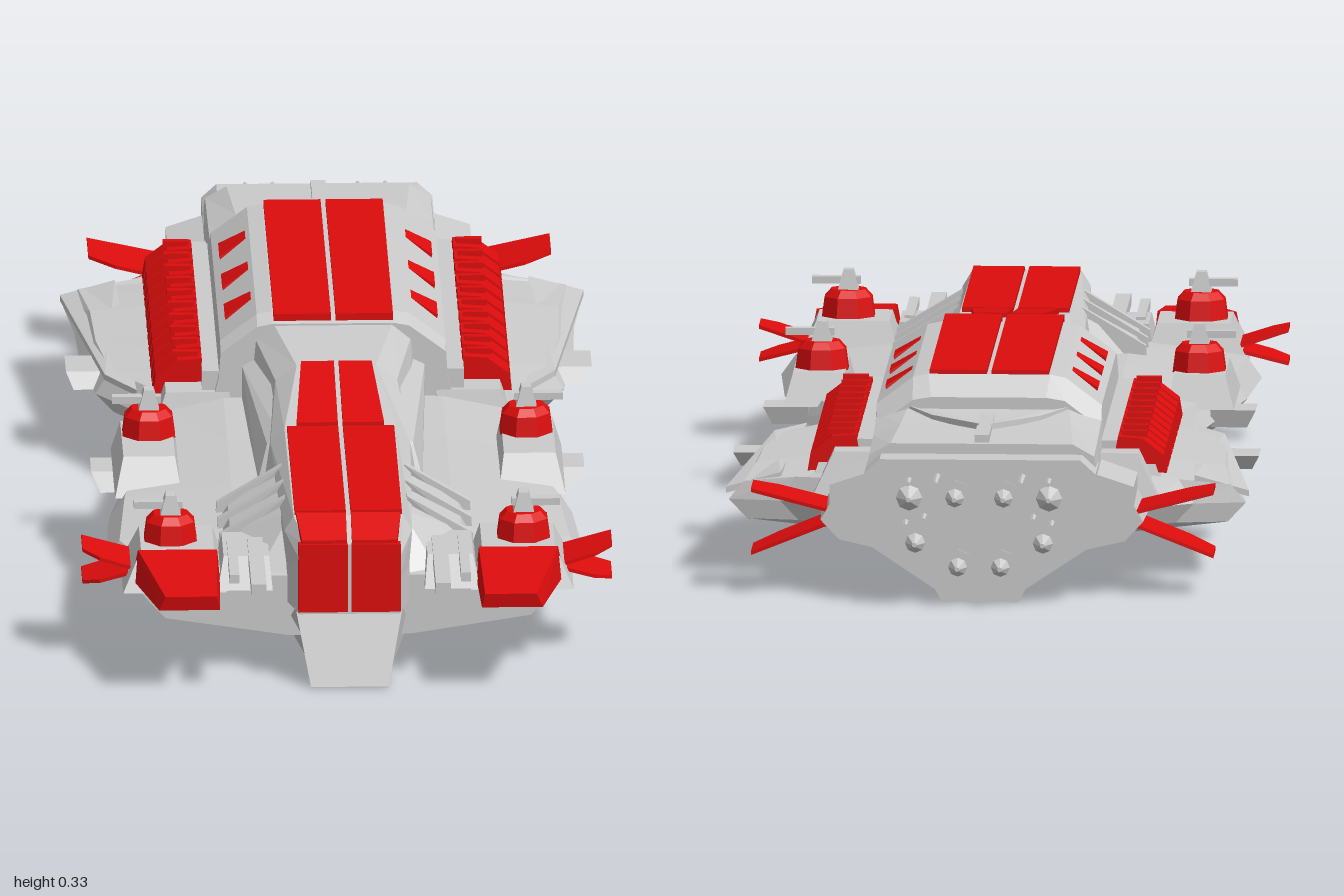
import * as THREE from 'three';
import { ConvexGeometry } from 'three/addons/geometries/ConvexGeometry.js';

const grey = new THREE.MeshStandardMaterial({ color: 0xcccccc, flatShading: true });
const red = new THREE.MeshStandardMaterial({ color: 0xdd0c0c, flatShading: true });

// Symmetric loft: sections run front to back as [z, [x, y]...] listing the +x half from bottom to top
function loft(sections) {
  const pos = [];
  const rings = sections.map(([z, ...half]) => [
    ...half.map(([x, y]) => [x, y, z]),
    ...half.map(([x, y]) => [-x, y, z]).reverse(),
  ]);
  const quad = (a, b, c, d) => pos.push(...a, ...b, ...c, ...a, ...c, ...d);
  const n = rings[0].length;
  for (let s = 0; s < rings.length - 1; s++) {
    const f = rings[s], k = rings[s + 1];
    for (let i = 0; i < n; i++) {
      const j = (i + 1) % n;
      quad(f[i], k[i], k[j], f[j]);
    }
  }
  const f = rings[0], k = rings[rings.length - 1];
  for (let i = 0; i < n / 2 - 1; i++) {
    quad(f[i], f[i + 1], f[n - 2 - i], f[n - 1 - i]);
    quad(k[i], k[n - 1 - i], k[n - 2 - i], k[i + 1]);
  }
  const g = new THREE.BufferGeometry();
  g.setAttribute('position', new THREE.Float32BufferAttribute(pos, 3));
  g.computeVertexNormals();
  return g;
}

const hull = (pts) => new ConvexGeometry(pts.map((p) => new THREE.Vector3(...p)));

// Block from two rectangles [x0, x1, z0, z1, y]: base and top
const block = (b, t) => hull([b, t].flatMap(([x0, x1, z0, z1, y]) =>
  [[x0, y, z0], [x1, y, z0], [x1, y, z1], [x0, y, z1]]));

const box = (x0, x1, y0, y1, z0, z1) =>
  new THREE.BoxGeometry(x1 - x0, y1 - y0, z1 - z0).translate((x0 + x1) / 2, (y0 + y1) / 2, (z0 + z1) / 2);

// Cylinder along z
const rod = (rFront, rBack, z0, z1, x, y, sides = 8) =>
  new THREE.CylinderGeometry(rFront, rBack, z1 - z0, sides).rotateX(Math.PI / 2).translate(x, y, (z0 + z1) / 2);

// Thin plate with the given outline
const plate = (pts, t = 0.005) => hull(pts.flatMap(([x, y, z]) => [[x, y - t, z], [x, y + t, z]]));

export function createModel() {
  const model = new THREE.Group();
  const add = (name, geo, mat = grey) => {
    const m = new THREE.Mesh(geo, mat);
    m.name = name;
    model.add(m);
    return m;
  };
  // Adds a part on the left and its mirror image on the right
  const pair = (name, geo, mat = grey) => {
    add(name + 'Left', geo, mat);
    const g = geo.clone().toNonIndexed();
    const p = g.attributes.position;
    for (let i = 0; i < p.count; i += 3) {
      const v = [0, 2, 1].map((k) => [-p.getX(i + k), p.getY(i + k), p.getZ(i + k)]);
      v.forEach((c, k) => p.setXYZ(i + k, ...c));
    }
    g.computeVertexNormals();
    add(name + 'Right', g, mat);
  };

  // Keel with raked bow
  add('keel', loft([
    [0.93, [0.063, 0], [0.064, 0.002]],
    [0.885, [0.063, 0], [0.088, 0.125]],
    [0.8, [0.063, 0], [0.1, 0.07]],
    [-0.91, [0.063, 0], [0.1, 0.07]],
  ]));

  // Wide lower hull: [z, half width, deck height]
  const plan = [
    [0.84, 0.33, 0.155], [0.72, 0.36, 0.165], [0.64, 0.395, 0.17], [0.42, 0.38, 0.17], [0.2, 0.34, 0.17],
    [0.0, 0.305, 0.175], [-0.1, 0.315, 0.175], [-0.2, 0.385, 0.175], [-0.35, 0.405, 0.175],
    [-0.5, 0.41, 0.175], [-0.64, 0.425, 0.165], [-0.655, 0.34, 0.175], [-0.7, 0.27, 0.18], [-0.85, 0.265, 0.18],
  ];
  add('lowerHull', loft(plan.map(([z, w, y]) =>
    [z, [0.1, 0.062], [w - 0.03, 0.093], [w, 0.125], [w - 0.025, y - 0.01], [0.18, y + 0.01]])));
  pair('wingPlate', plate([[0.32, 0.16, -0.1], [0.37, 0.16, -0.18], [0.4, 0.15, -0.45],
    [0.43, 0.14, -0.64], [0.34, 0.165, -0.64]]));

  // Forward spine and raised neck
  const spine = (z, base, shoulder, top, y) =>
    [z, [base, 0.12], [base, 0.18], [shoulder, y - 0.025], [top, y]];
  add('forwardSpine', loft([
    spine(0.905, 0.082, 0.082, 0.07, 0.24), spine(0.84, 0.1, 0.105, 0.09, 0.268),
    spine(0.4, 0.125, 0.115, 0.092, 0.268), spine(0.17, 0.12, 0.1, 0.065, 0.298),
    spine(-0.02, 0.14, 0.13, 0.1, 0.31),
  ]));
  pair('neckRail', hull([[0.1, 0.18, 0.42], [0.135, 0.18, 0.4], [0.1, 0.25, 0.38], [0.12, 0.235, 0.38],
    [0.11, 0.26, 0], [0.15, 0.24, 0], [0.15, 0.18, 0]]));
  // Side bulges of the bow
  pair('bowBulge', hull([[0.09, 0.25, 0.76], [0.09, 0.25, 0.52], [0.09, 0.16, 0.84], [0.15, 0.16, 0.82],
    [0.21, 0.16, 0.72], [0.21, 0.16, 0.56], [0.19, 0.195, 0.7], [0.19, 0.195, 0.57], [0.09, 0.16, 0.45]]));
  for (const z of [0.54, 0.62, 0.7])
    pair('bulgeRib', hull([[0.1, 0.258, z], [0.1, 0.258, z + 0.015], [0.208, 0.193, z], [0.208, 0.193, z + 0.015],
      [0.21, 0.16, z], [0.21, 0.16, z + 0.015], [0.1, 0.16, z]]));

  // Red armour strips either side of the centre seam
  const strip = (name, z0, w0, y0, z1, w1, y1) => pair(name,
    plate([[0.004, y0, z0], [w0, y0, z0], [0.004, y1, z1], [w1, y1, z1]], 0.006), red);
  strip('bowTopStrip', 0.835, 0.088, 0.27, 0.41, 0.088, 0.27);
  strip('neckStrip', 0.395, 0.072, 0.271, 0.17, 0.058, 0.3);
  strip('bowBrow', 0.905, 0.078, 0.242, 0.84, 0.086, 0.268);
  pair('bowFace', box(0.003, 0.084, 0.125, 0.242, 0.895, 0.911), red);
  strip('mainStrip', 0.005, 0.098, 0.325, -0.57, 0.098, 0.325);

  // Main superstructure
  const main = (z, top, y) => [z, [0.2, 0.17], [0.188, 0.22], [0.185, y - 0.05], [0.125, y - 0.005], [top, y]];
  add('superstructure', loft([main(0.0, 0.1, 0.312), main(-0.03, 0.1, 0.324),
    main(-0.57, 0.1, 0.324), main(-0.6, 0.095, 0.29)]));
  for (const z of [-0.14, -0.29, -0.445])
    pair('slopeVent', hull([[0.13, 0.315, z + 0.02], [0.13, 0.315, z - 0.02], [0.175, 0.288, z + 0.033],
      [0.175, 0.288, z - 0.033], [0.13, 0.305, z + 0.02], [0.13, 0.305, z - 0.02],
      [0.172, 0.275, z + 0.033], [0.172, 0.275, z - 0.033]]), red);

  // Broadside shoulder with row of red ribs
  pair('shoulder', block([0.17, 0.3, -0.67, 0.02, 0.12], [0.17, 0.275, -0.65, 0, 0.195]));
  pair('shoulderLedge', box(0.18, 0.215, 0.19, 0.228, -0.65, -0.01));
  for (let i = 0; i < 10; i++) {
    const z = -0.075 - i * 0.0615;
    const rib = [z - 0.023, z + 0.023].flatMap((s) =>
      [[0.205, 0.18, s], [0.295, 0.175, s], [0.29, 0.205, s], [0.255, 0.232, s], [0.215, 0.235, s]]);
    pair('broadsideRib', hull(rib), red);
    pair('broadsideGun', box(0.22, 0.262, 0.232, 0.242, z - 0.006, z + 0.006), red);
  }

  // Stern deck
  const stern = (z, w, y) => [z, [0.25, 0.12], [0.25, 0.185], [0.19, 0.205], [0.185, y - 0.02], [w, y]];
  add('sternDeck', loft([stern(-0.55, 0.13, 0.275), stern(-0.7, 0.14, 0.262), stern(-0.86, 0.15, 0.255)]));
  add('sternSpine', box(-0.012, 0.012, 0.25, 0.268, -0.85, -0.58));
  pair('sternRidge', plate([[0.01, 0.266, -0.75], [0.01, 0.266, -0.73], [0.09, 0.27, -0.65],
    [0.13, 0.27, -0.6], [0.09, 0.267, -0.67]]));
  pair('sternSideBlock', block([0.18, 0.29, -0.72, -0.64, 0.13], [0.18, 0.25, -0.7, -0.64, 0.215]));

  // Engine block, nozzles and probes
  add('engineBlock', loft([-0.8, -0.92].map((z) =>
    [z, [0.07, 0.02], [0.19, 0.1], [0.19, 0.215], [0.165, 0.238]])));
  for (const [x, y, r] of [[0.115, 0.18, 0.042], [0.04, 0.18, 0.03], [0.105, 0.105, 0.032], [0.035, 0.065, 0.03]]) {
    pair('engineNozzle', rod(r * 0.75, r, -0.955, -0.91, x, y));
    pair('engineCone', rod(r * 0.6, 0.004, -0.98, -0.95, x, y));
  }
  for (const [x, y] of [[0.07, 0.21], [0.09, 0.15], [0.115, 0.21], [0.12, 0.14]])
    pair('engineProbe', rod(0.006, 0.004, -1, -0.91, x, y, 6));

  // Forward pads and red prongs
  pair('prongPad', block([0.2, 0.37, 0.68, 0.85, 0.14], [0.22, 0.34, 0.7, 0.82, 0.205]));
  pair('prong', hull([[0.21, 0.155, 0.82], [0.355, 0.155, 0.82], [0.345, 0.205, 0.82], [0.215, 0.205, 0.82],
    [0.215, 0.16, 0.995], [0.315, 0.16, 0.995], [0.305, 0.185, 1], [0.22, 0.185, 1]]), red);

  // Red stabiliser fins, front and stern
  const fin = (name, x0, y0, x1, y1, z0, z1) => pair(name, plate([[x0, y0, z0], [x0, y0, z1],
    [(x0 + 2 * x1) / 3, (y0 + 2 * y1) / 3, z0], [x1, y1, z0 - 0.02 * Math.sign(z0 - z1)],
    [x1, y1, z1 + 0.01 * Math.sign(z0 - z1)]], 0.003), red);
  fin('frontUpperFin', 0.35, 0.165, 0.435, 0.192, 0.8, 0.7);
  fin('frontLowerFin', 0.35, 0.16, 0.435, 0.137, 0.8, 0.7);
  fin('sternUpperFin', 0.25, 0.14, 0.38, 0.172, -0.73, -0.85);
  fin('sternLowerFin', 0.25, 0.12, 0.38, 0.067, -0.73, -0.85);

  // Side nubs
  pair('hullNub', block([0.33, 0.39, 0.19, 0.27, 0.115], [0.33, 0.405, 0.18, 0.25, 0.145]));
  pair('wingNub', block([0.37, 0.42, -0.3, -0.22, 0.125], [0.37, 0.432, -0.32, -0.24, 0.15]));

  // Bow guns
  pair('longBowGun', box(0.139, 0.164, 0.185, 0.205, 0.76, 1));
  pair('shortBowGun', box(0.182, 0.198, 0.19, 0.205, 0.76, 0.95));
  pair('bowGunMount', block([0.125, 0.215, 0.72, 0.87, 0.15], [0.13, 0.205, 0.72, 0.84, 0.2]));

  // Turrets on pads
  pair('turretPad', block([0.26, 0.37, 0.15, 0.4, 0.15], [0.27, 0.355, 0.17, 0.35, 0.205]));
  for (const [x, z] of [[0.31, 0.23], [0.29, 0.76]]) {
    pair('turretBase', new THREE.CylinderGeometry(0.042, 0.047, 0.035, 8).rotateY(Math.PI / 8).translate(x, 0.22, z), red);
    pair('turretCap', new THREE.CylinderGeometry(0.03, 0.042, 0.013, 8).rotateY(Math.PI / 8).translate(x, 0.243, z), red);
    pair('turretHead', block([x - 0.018, x + 0.018, z - 0.018, z + 0.018, 0.245],
      [x - 0.008, x + 0.008, z - 0.012, z + 0.012, 0.282]));
    pair('turretBarrel', box(x - 0.02, x + 0.06, 0.258, 0.27, z - 0.008, z + 0.008));
  }
  return model;
}
